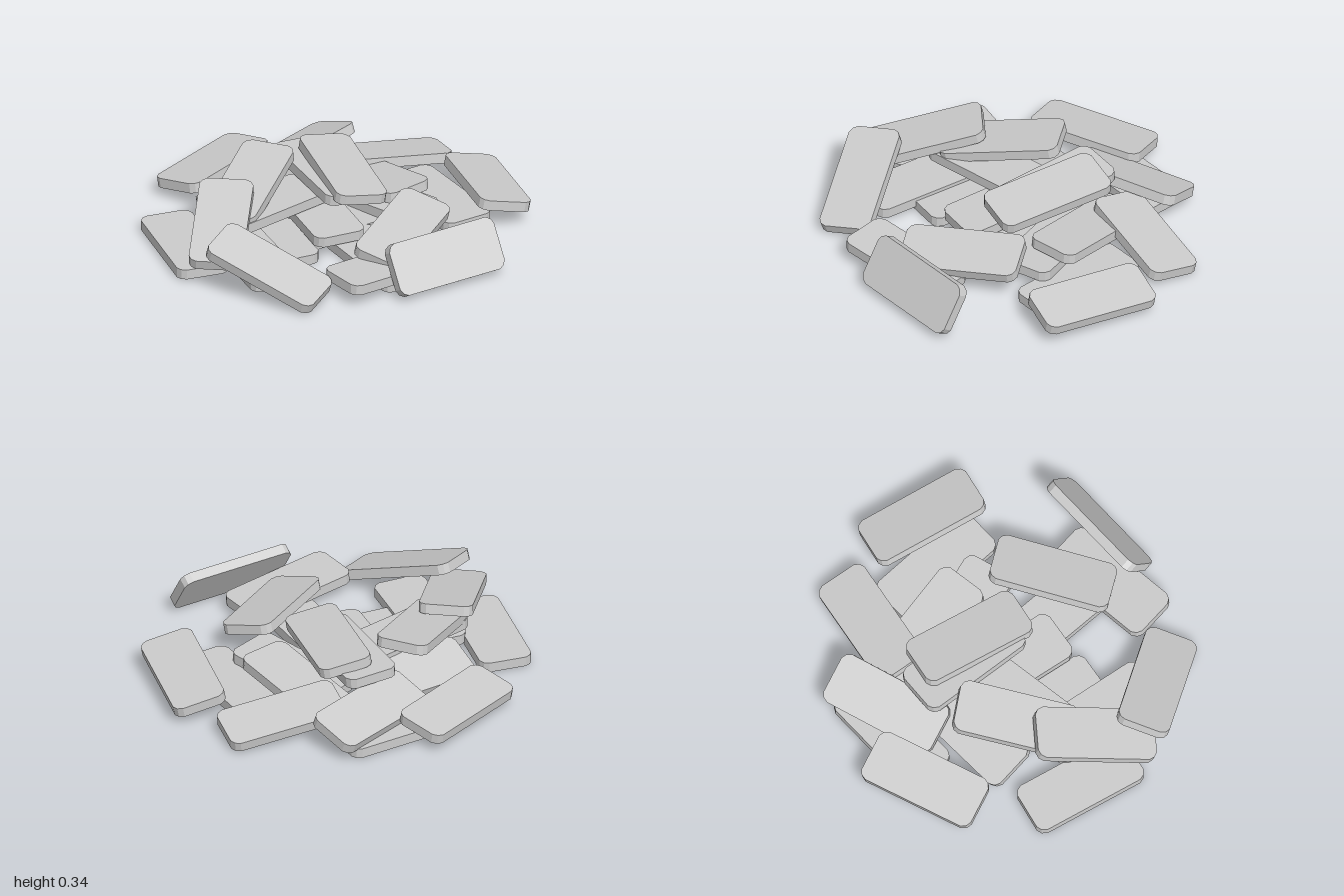
import * as THREE from 'three';

const LENGTH = 0.645, WIDTH = 0.284, THICK = 0.055, CORNER = 0.042;

// One flat slab with cut corners, centred on its origin, lying in xz
function slabGeometry() {
  const a = LENGTH / 2, b = WIDTH / 2, c = CORNER, m = CORNER * 0.35;
  const shape = new THREE.Shape();
  [[1, 1], [-1, 1], [-1, -1], [1, -1]].forEach(([sx, sy], i) => {
    // each corner is rounded with three points
    const pts = [[a, b - c], [a - m, b - m], [a - c, b]];
    if (i % 2) pts.reverse();
    pts.forEach(([x, y], j) => (i + j === 0 ? shape.moveTo(x, y) : shape.lineTo(sx * x, sy * y)));
  });
  shape.closePath();
  return new THREE.ExtrudeGeometry(shape, { depth: THICK, bevelEnabled: false })
    .translate(0, 0, -THICK / 2).rotateX(-Math.PI / 2);
}

// Slab placements: x, y, z, yaw, pitch, roll (degrees)
const groundSlabs = [
  [-0.04, 0.03, -0.69, 8, 0, 0],
  [0.03, 0.03, 0.50, 97, 0, 0],
  [0.03, 0.03, 0.045, 11, 0, 0],
  [-0.38, 0.03, 0.05, 90, 0, 0],
  [-0.84, 0.037, -0.04, 85.5, 0, 0],
  [0.585, 0.033, 0.02, 98.5, 0, 0],
  [-0.575, 0.05, 0.26, 90, 0, 0],
];
const middleSlabs = [
  [-0.01, 0.086, 0.71, 14, -3, 0],
  [0.27, 0.08, -0.04, 115, -2, 0],
  [0.31, 0.107, -0.22, 107, -7, 0],
  [-0.105, 0.105, 0.015, 90, 2, 0],
  [-0.28, 0.10, -0.35, 10, 0, -18],
  [-0.37, 0.165, -0.05, 17, 0, 0],
  [0.503, 0.088, -0.45, -2.5, -6.5, -9],
];
const topSlabs = [
  [0.025, 0.22, -0.185, 94, 2, 3],
  [0.095, 0.252, -0.105, 86, 4, 8],
  [-0.415, 0.25, -0.16, 45, 11, 0],
  [-0.71, 0.217, 0.14, 60, 15, 0],
  [0.175, 0.152, 0.48, 41, 5, 14],
];
const leaningSlabs = [
  [-0.38, 0.098, -0.71, 28, 0, -9],
  [0.078, 0.124, -0.64, 26, 0, -19],
  [0.833, 0.115, 0.10, 85, -3, 12],
  [-0.635, 0.155, 0.585, -50, -19, 9],
  [0.262, 0.15, 0.835, 8, 0, 58],
];

export function createModel() {
  const model = new THREE.Group();
  model.name = 'slabPile';
  const geometry = slabGeometry();
  const material = new THREE.MeshStandardMaterial({ color: 0xcccccc, flatShading: true });
  const rad = THREE.MathUtils.degToRad;

  // Layers of the pile
  const layers = { groundSlab: groundSlabs, middleSlab: middleSlabs, topSlab: topSlabs, leaningSlab: leaningSlabs };
  for (const [name, list] of Object.entries(layers)) {
    const layer = new THREE.Group();
    layer.name = name + 's';
    list.forEach(([x, y, z, yaw, pitch, roll], i) => {
      const slab = new THREE.Mesh(geometry, material);
      slab.name = name + (i + 1);
      slab.position.set(x, y, z);
      slab.rotation.set(rad(roll), rad(yaw), rad(pitch), 'YZX');
      layer.add(slab);
    });
    model.add(layer);
  }
  return model;
}
